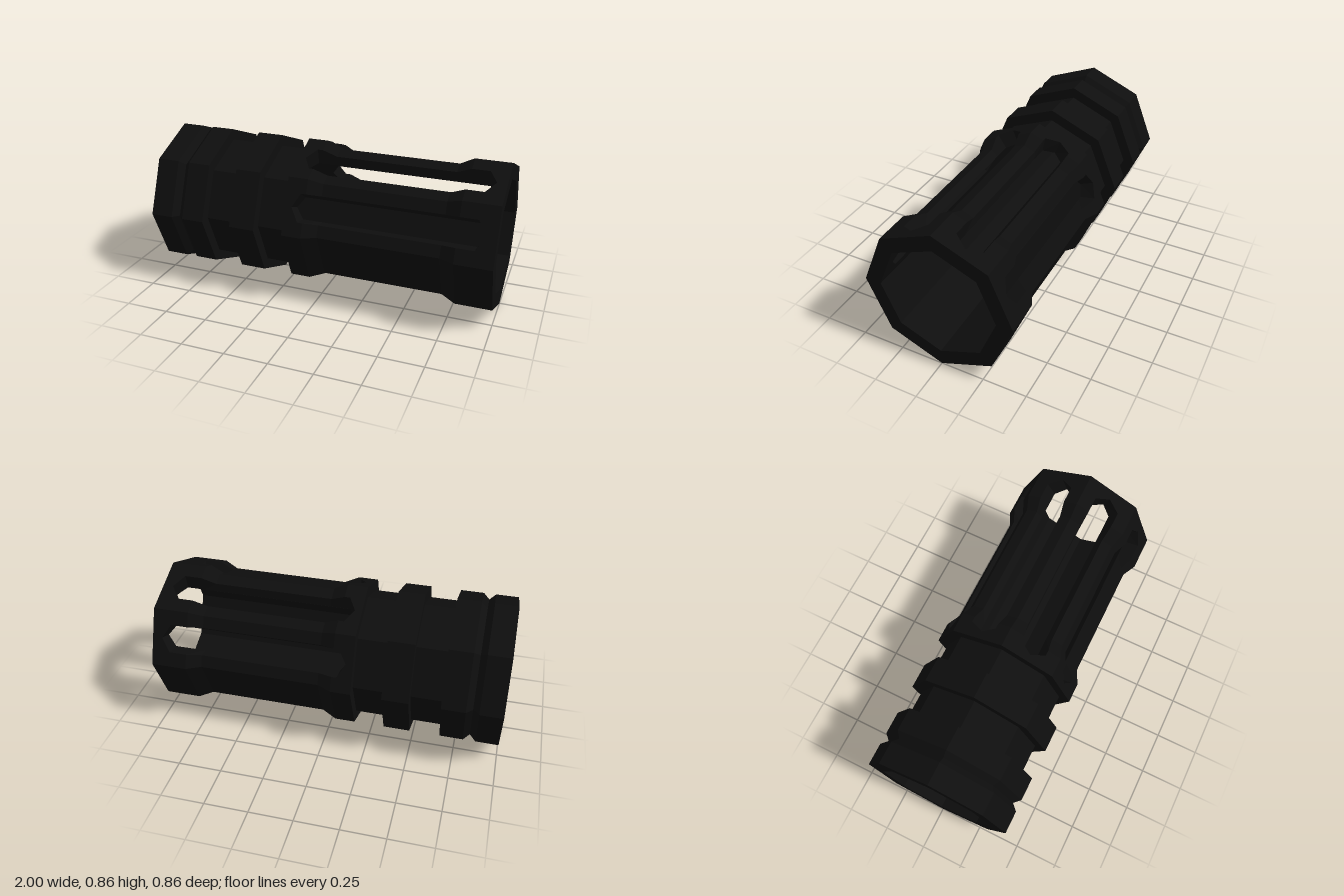
import * as THREE from 'three';

const SIDES = 8, HALF = Math.PI / SIDES, AXIS_Y = 0.43;
const OUT = 0.43, GROOVE = 0.365, WAIST = 0.39, BORE = 0.337;

// Point on one flat of the octagon: t runs across the flat, x along the tube
function onFlat(k, x, r, t) {
  const m = (2 * k + 1) * HALF, d = r * Math.cos(HALF);
  return [x, AXIS_Y + d * Math.sin(m) + t * Math.cos(m), d * Math.cos(m) - t * Math.sin(m)];
}

function quad(out, a, b, c, d) {
  out.push(...a, ...b, ...c, ...a, ...c, ...d);
}

// Sweep stations [x, radius, slot half width] over one flat, leaving the slot open
function sweepFlat(out, k, stations, slotted) {
  for (let i = 0; i + 1 < stations.length; i++) {
    const [x0, r0, h0 = 0] = stations[i], [x1, r1, h1 = 0] = stations[i + 1];
    const w0 = r0 * Math.sin(HALF), w1 = r1 * Math.sin(HALF);
    const s0 = slotted ? h0 : 0, s1 = slotted ? h1 : 0;
    const P = (x, r, t) => onFlat(k, x, r, t);
    if (s0 + s1 === 0) {
      quad(out, P(x0, r0, -w0), P(x1, r1, -w1), P(x1, r1, w1), P(x0, r0, w0));
    } else {
      quad(out, P(x0, r0, -w0), P(x1, r1, -w1), P(x1, r1, -s1), P(x0, r0, -s0));
      quad(out, P(x0, r0, s0), P(x1, r1, s1), P(x1, r1, w1), P(x0, r0, w0));
    }
  }
}

// Walls through the thickness of the tube around one slot
function slotWalls(out, k, outer, inner) {
  for (let i = 0; i + 1 < outer.length; i++) {
    const o0 = outer[i], o1 = outer[i + 1], n0 = inner[i], n1 = inner[i + 1];
    if (o0[2] + o1[2] === 0) continue;
    const P = (s, side) => onFlat(k, s[0], s[1], side * s[2]);
    quad(out, P(n0, 1), P(n1, 1), P(o1, 1), P(o0, 1));
    quad(out, P(o0, -1), P(o1, -1), P(n1, -1), P(n0, -1));
  }
}

function flatMesh(name, positions, material) {
  const g = new THREE.BufferGeometry();
  g.setAttribute('position', new THREE.Float32BufferAttribute(positions, 3));
  g.computeVertexNormals();
  const mesh = new THREE.Mesh(g, material);
  mesh.name = name;
  return mesh;
}

export function createModel() {
  const group = new THREE.Group();
  group.name = 'slottedTube';
  const blackMetal = new THREE.MeshStandardMaterial({ color: 0x0e0e0e, flatShading: true });
  blackMetal.name = 'blackMetal';

  // Grooved collar: bore, end ring, V notch and two square grooves
  const collarProfile = [
    [-0.17, BORE], [-1, BORE], [-1, OUT], [-0.87, OUT], [-0.835, 0.395], [-0.8, OUT],
    [-0.667, OUT], [-0.667, GROOVE], [-0.493, GROOVE], [-0.493, OUT],
    [-0.343, OUT], [-0.343, GROOVE], [-0.17, GROOVE],
  ];
  const collar = [];
  for (let k = 0; k < SIDES; k++) sweepFlat(collar, k, collarProfile, false);
  group.add(flatMesh('groovedCollar', collar, blackMetal));

  // Slotted cage: waisted outside, straight bore, pointed slots in the upper four flats
  const S = 0.08;
  const outer = [
    [-0.17, OUT, 0], [-0.13, OUT, 0], [-0.086, OUT, S], [-0.055, OUT, S], [0.025, WAIST, S],
    [0.715, WAIST, S], [0.795, OUT, S], [0.895, OUT, S], [0.943, OUT, 0], [1, OUT, 0],
  ];
  const inner = outer.map(([x, , s]) => [x, BORE, s * 0.78]);
  const cageProfile = [[-0.17, GROOVE, 0], ...outer, ...[...inner].reverse()];
  const cage = [], walls = [];
  for (let k = 0; k < SIDES; k++) {
    const slotted = k < 4;
    sweepFlat(cage, k, cageProfile, slotted);
    if (slotted) slotWalls(walls, k, outer, inner);
  }
  group.add(flatMesh('slottedCage', cage, blackMetal));
  group.add(flatMesh('slotWalls', walls, blackMetal));

  return group;
}
